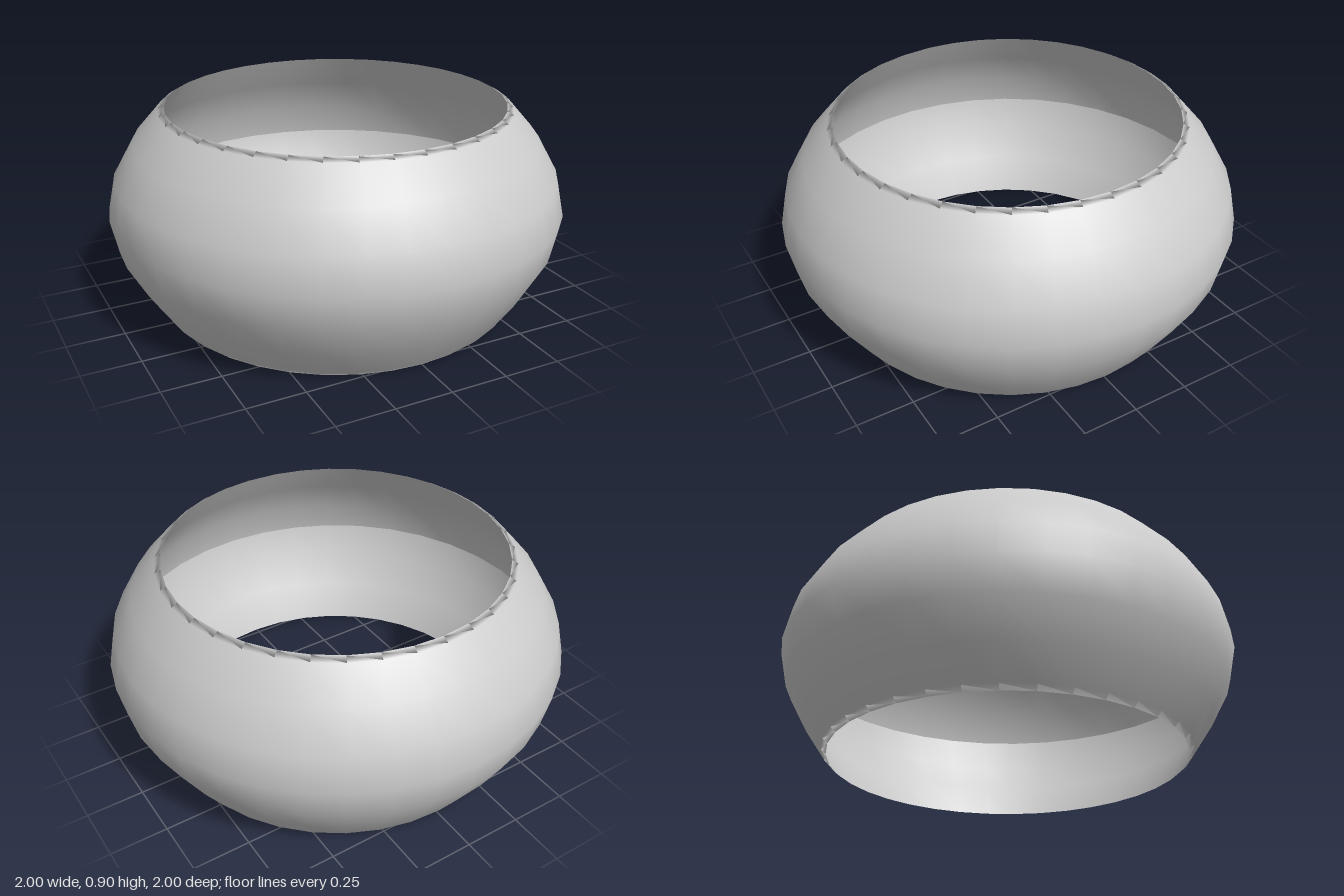
import * as THREE from 'three';

export function createModel() {
  const group = new THREE.Group();
  group.name = 'openRing';

  // Outer wall, bottom to top: [radius, height]
  const outer = [
    [0.775, 0], [0.797, 0.02], [0.885, 0.15], [0.968, 0.3], [1, 0.45],
    [0.968, 0.6], [0.88, 0.755], [0.765, 0.885], [0.738, 0.9],
  ];
  // Inner wall, following the outer one at a small distance
  const gap = 0.028;
  const innerDown = outer.slice(2, 7).reverse().map(([r, y]) => [r - gap, 0.45 + (y - 0.45) * 0.97]);

  // Closed profile that starts and ends at the inner waist, so the rims shade smoothly
  const profile = [...innerDown.slice(2), ...outer, ...innerDown.slice(0, 3)]
    .map(([r, y]) => new THREE.Vector2(r, y));

  const shell = new THREE.Mesh(
    new THREE.LatheGeometry(profile, 36),
    new THREE.MeshStandardMaterial({ color: 0xcccccc }),
  );
  shell.name = 'shell';
  group.add(shell);
  return group;
}
